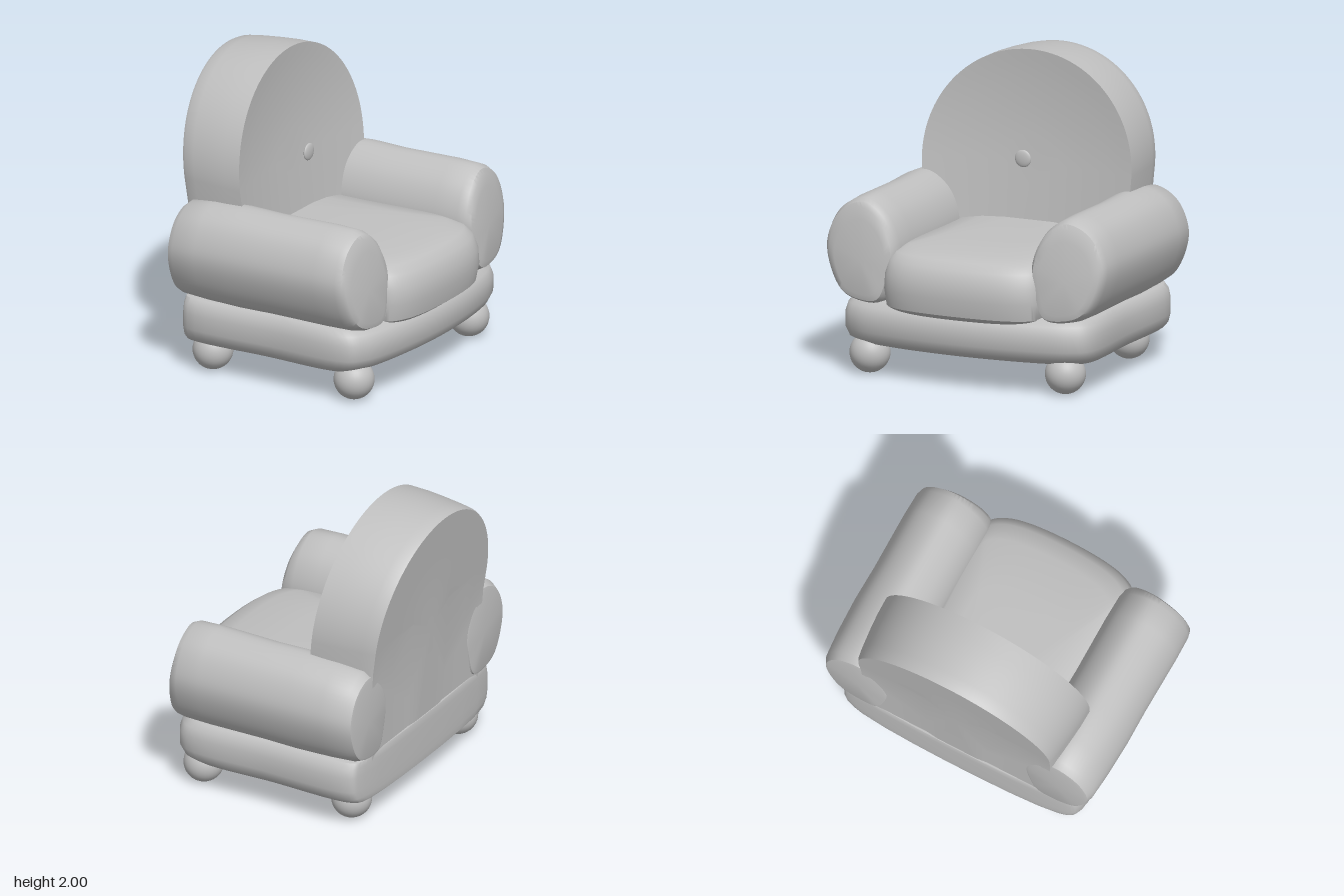
import * as THREE from 'three';
import { toCreasedNormals } from 'three/addons/utils/BufferGeometryUtils.js';

const fabric = new THREE.MeshStandardMaterial({ color: 0xc0c0c0 });
fabric.name = 'grey';

// Closed smooth outline through 2D points
function outline(points, count) {
  const curve = new THREE.CatmullRomCurve3(points.map(([a, b]) => new THREE.Vector3(a, b, 0)), true);
  return curve.getPoints(count).slice(0, count).map((p) => [p.x, p.y]);
}

// Skin over closed rings of [x, y, z], capped at both ends
function loft(rings, crease = 0.7) {
  const n = rings[0].length;
  const positions = rings.flat(2);
  const index = [];
  for (let i = 0; i < rings.length - 1; i++) {
    for (let j = 0; j < n; j++) {
      const a = i * n + j, b = i * n + ((j + 1) % n), c = a + n, d = b + n;
      index.push(a, b, c, b, d, c);
    }
  }
  const last = rings.length - 1;
  for (const r of [0, last]) {
    const centre = positions.length / 3;
    for (let k = 0; k < 3; k++) positions.push(rings[r].reduce((s, p) => s + p[k], 0) / n);
    for (let j = 0; j < n; j++) {
      const a = r * n + j, b = r * n + ((j + 1) % n);
      if (r === 0) index.push(centre, b, a);
      else index.push(centre, a, b);
    }
  }
  const geometry = new THREE.BufferGeometry();
  geometry.setAttribute('position', new THREE.Float32BufferAttribute(positions, 3));
  geometry.setIndex(index);
  return toCreasedNormals(geometry, crease);
}

// Padded slab: half plan outline mirrored in z, layered in y with inset from a fixed rear line
function slab(halfPlan, rear, layers) {
  const mirrored = halfPlan.filter(([, z]) => z > 0).reverse().map(([x, z]) => [x, -z]);
  const plan = outline([...halfPlan, ...mirrored], 96);
  return loft(layers.map(([y, s]) => plan.map(([x, z]) => [rear + (x - rear) * s, y, z * s])));
}

// Arm: rounded section swept along x, with a slanted front end
function arm(side) {
  const section = outline([[1.16, 0.72], [1.08, 0.9], [0.88, 0.995], [0.7, 0.97], [0.53, 0.87],
    [0.475, 0.72], [0.49, 0.57], [0.66, 0.5], [0.86, 0.475], [1.06, 0.56]], 64);
  // x, scale, slant
  const stations = [[-0.72, 0.78, 0], [-0.715, 0.84, 0], [-0.67, 0.92, 0], [-0.5, 0.97, 0], [-0.25, 1, 0],
    [0, 0.985, 0], [0.4, 1, 0], [0.57, 0.985, 0.2], [0.625, 0.94, 0.6], [0.65, 0.86, 1], [0.662, 0.7, 1]];
  const rings = stations.map(([x, s, slant]) => {
    const ring = section.map(([y, z]) => {
      const py = 0.7 + (y - 0.7) * s, pz = 0.72 + (z - 0.72) * s;
      return [x - slant * (0.09 * (py - 0.8) + 0.08 * (pz - 0.74)), py, pz * side];
    });
    return side < 0 ? ring.reverse() : ring;
  });
  return loft(rings);
}

// Backrest: round-topped panel that leans back, with a dished front
function backrest() {
  const shape = [];
  const r = 0.745, cy = 1.255, floor = 0.21;
  for (let i = 0; i <= 64; i++) {
    const t = -Math.PI / 2 + (Math.PI * i) / 64;
    shape.push([cy + r * Math.cos(t), r * Math.sin(t)]);
  }
  for (let i = 1; i <= 8; i++) shape.push([cy + ((floor - cy) * i) / 8, r - 0.045 * (i / 8)]);
  for (let i = 1; i < 8; i++) shape.push([floor, 0.7 * (1 - i / 4)]);
  for (let i = 8; i >= 1; i--) shape.push([cy + ((floor - cy) * i) / 8, -r + 0.045 * (i / 8)]);
  const frontX = (y) => -0.38 + 0.108 * (2 - y);
  const backX = (y) => (y < 1.05 ? -0.695 - 0.03 * (y - 0.2) : -0.72 - 0.14 * (y - 1.05));
  const ring = (s, depth, dent = 0) => shape.map(([y, z]) => {
    const py = y < cy ? floor + (y - floor) * (0.5 + s / 2) : cy + (y - cy) * s;
    const fx = frontX(py);
    return [fx + (backX(py) - fx) * depth - dent, py, z * s];
  });
  const rings = [];
  for (const s of [0.3, 0.6, 0.8, 0.9, 0.935]) rings.push(ring(s, 1));
  rings.push(ring(0.95, 0.95), ring(0.965, 0.8), ring(0.985, 0.5), ring(0.997, 0.25), ring(1, 0));
  for (const s of [0.9, 0.75, 0.5, 0.25]) rings.push(ring(s, 0, 0.07 * (1 - s * s)));
  return loft(rings, 0.8);
}

export function createModel() {
  const model = new THREE.Group();
  model.name = 'armchair';
  const add = (name, geometry) => {
    const mesh = new THREE.Mesh(geometry, fabric);
    mesh.name = name;
    model.add(mesh);
    return mesh;
  };

  add('base', slab(
    [[-0.69, 0.78], [-0.65, 0.855], [0, 0.875], [0.58, 0.865], [0.67, 0.76], [0.735, 0.5], [0.77, 0]], -0.69,
    [[0.195, 0.9], [0.205, 0.94], [0.24, 0.98], [0.3, 1], [0.4, 1], [0.46, 0.985], [0.495, 0.95], [0.51, 0.85]]));

  add('seatCushion', slab(
    [[-0.6, 0.45], [-0.55, 0.51], [0, 0.54], [0.6, 0.555], [0.7, 0.53], [0.78, 0.4], [0.82, 0]], -0.6,
    [[0.45, 0.92], [0.455, 0.95], [0.49, 0.985], [0.6, 1], [0.7, 0.995], [0.79, 0.97], [0.835, 0.93],
      [0.865, 0.85], [0.885, 0.6], [0.892, 0.3]]));

  add('leftArm', arm(1));
  add('rightArm', arm(-1));
  add('backrest', backrest());

  // Button in front of the backrest
  const button = add('button', new THREE.SphereGeometry(0.057, 24, 16));
  button.scale.x = 0.28;
  button.position.set(-0.245, 1.31, 0);

  // Ball feet
  for (const [x, z] of [[0.54, 0.71], [0.54, -0.68], [-0.525, 0.71], [-0.525, -0.62]]) {
    add('foot', new THREE.SphereGeometry(0.132, 32, 20)).position.set(x, 0.132, z);
  }
  return model;
}
